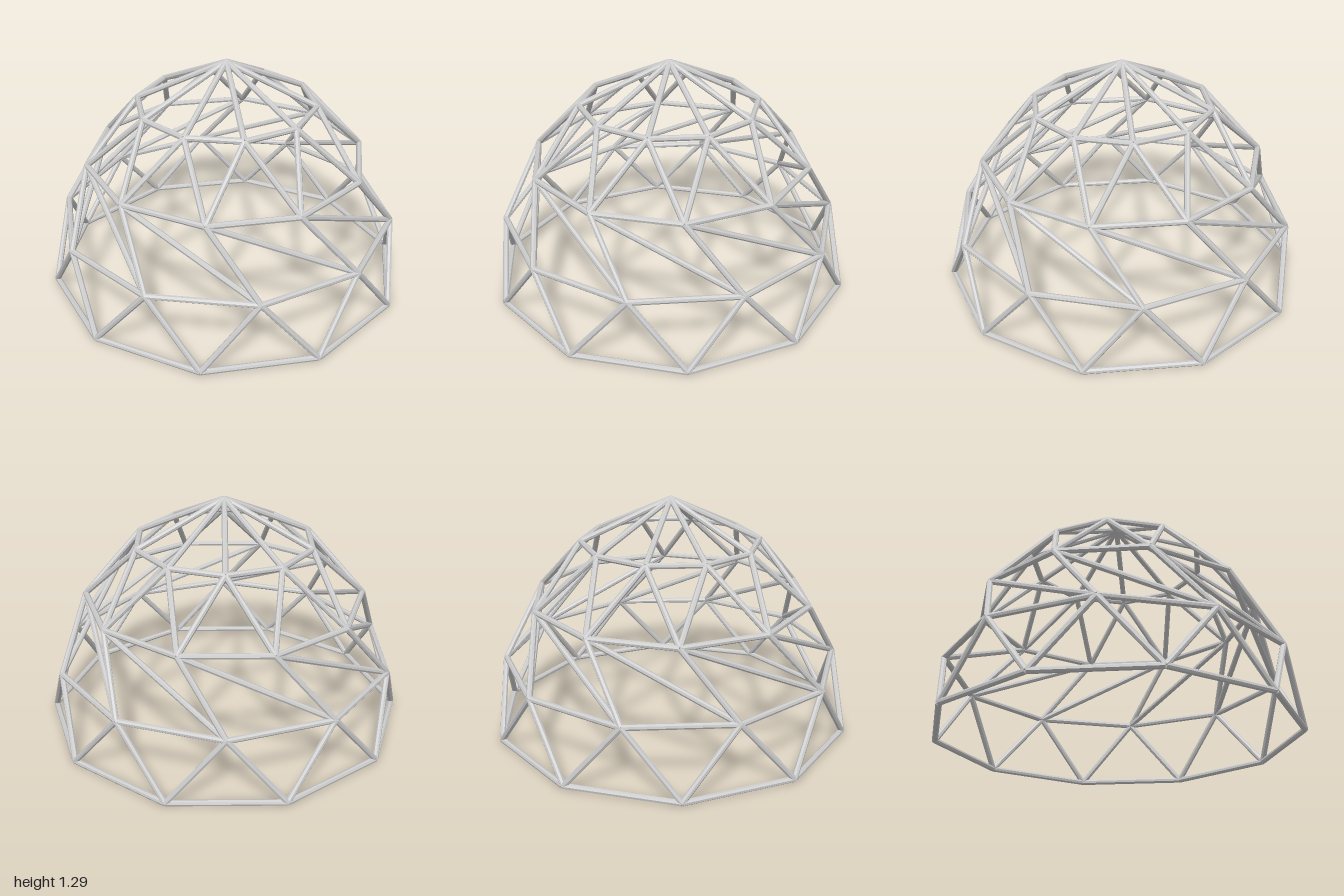
import * as THREE from 'three';

const SIDES = 10;
const TUBE = 0.016;
const UP = new THREE.Vector3(0, 1, 0);

// One ring of nodes; half = 1 rotates the ring by half a step
function ringNodes(radius, y, half) {
  return Array.from({ length: SIDES }, (_, k) => {
    const a = ((k + half / 2) / SIDES) * Math.PI * 2;
    return new THREE.Vector3(radius * Math.cos(a), y, radius * Math.sin(a));
  });
}

export function createModel() {
  const model = new THREE.Group();
  model.name = 'domeFrame';
  const material = new THREE.MeshStandardMaterial({ color: 0xcccccc, flatShading: true });

  const section = (name) => {
    const group = new THREE.Group();
    group.name = name;
    model.add(group);
    return group;
  };

  // Straight tube between two nodes
  const strut = (group, a, b) => {
    const dir = b.clone().sub(a);
    const mesh = new THREE.Mesh(new THREE.CylinderGeometry(TUBE, TUBE, dir.length(), 8), material);
    mesh.name = 'strut';
    mesh.position.copy(a).add(b).multiplyScalar(0.5);
    mesh.quaternion.setFromUnitVectors(UP, dir.normalize());
    group.add(mesh);
  };

  const base = ringNodes(0.984, 0.017, 0);
  const lower = ringNodes(0.927, 0.377, 1);
  const upper = ringNodes(0.767, 0.73, 0);
  const crown = ringNodes(0.488, 1.045, 1);
  const apex = new THREE.Vector3(0, 1.275, 0);

  // Horizontal hoops
  const hoops = { baseRing: base, lowerRing: lower, upperRing: upper, crownRing: crown };
  for (const [name, nodes] of Object.entries(hoops)) {
    const group = section(name);
    nodes.forEach((p, k) => strut(group, p, nodes[(k + 1) % SIDES]));
  }

  // Braces: each node of one ring joins two nodes of the other at the given offsets
  const brace = (name, from, to, offsets) => {
    const group = section(name);
    from.forEach((p, k) => {
      for (const o of offsets) strut(group, p, to[(k + o + SIDES) % SIDES]);
    });
  };
  brace('baseBraces', base, lower, [0, -1]);
  brace('twistedBraces', upper, lower, [-1, -2]); // this tier is skewed by one step
  brace('crownBraces', upper, crown, [0, -1]);

  // Roof spokes meeting at the apex
  const spokes = section('roofSpokes');
  crown.forEach((p) => strut(spokes, p, apex));

  return model;
}
